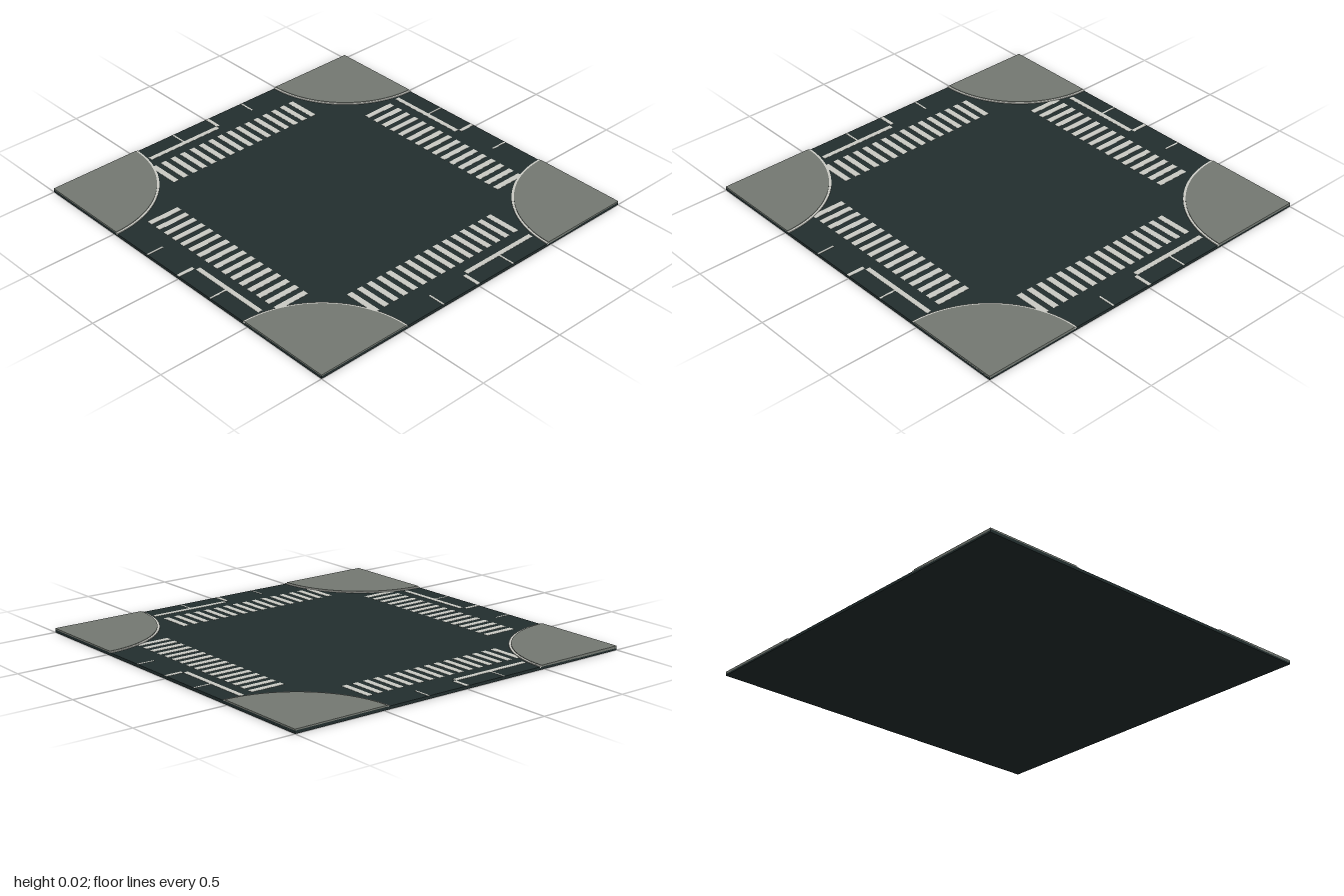
import * as THREE from 'three';

const ROAD = 0.015, MARK = 0.001, KERB = 0.019, PAVE = 0.022;
const R_PAVE = 0.518, R_KERB = 0.53;

const material = (name, color) => {
  const m = new THREE.MeshStandardMaterial({ color });
  m.name = name;
  return m;
};

// Quarter disc or quarter ring in the XY plane, centred on the origin
function quarterShape(outer, inner = 0) {
  const s = new THREE.Shape();
  s.moveTo(inner, 0);
  s.lineTo(outer, 0);
  s.absarc(0, 0, outer, 0, Math.PI / 2, false);
  s.lineTo(0, inner);
  if (inner) s.absarc(0, 0, inner, Math.PI / 2, 0, true);
  return s;
}

// Upright extrusion standing between two heights
function slab(shape, bottom, top) {
  const g = new THREE.ExtrudeGeometry(shape, { depth: top - bottom, bevelEnabled: false, curveSegments: 24 });
  return g.rotateX(-Math.PI / 2).translate(0, bottom, 0);
}

export function createModel() {
  const group = new THREE.Group();
  group.name = 'roadCrossing';
  const asphalt = material('asphalt', 0x222e2e);
  const paving = material('paving', 0x747972);
  const paint = material('paint', 0xcacbc4);

  const add = (name, geometry, mat, parent = group) => {
    const mesh = new THREE.Mesh(geometry, mat);
    mesh.name = name;
    parent.add(mesh);
    return mesh;
  };

  // Road slab
  add('roadSlab', new THREE.BoxGeometry(2, ROAD, 2).translate(0, ROAD / 2, 0), asphalt);

  // Raised pavement corners with a pale kerb
  const paveGeo = slab(quarterShape(R_PAVE), ROAD - 0.005, PAVE);
  const kerbGeo = slab(quarterShape(R_KERB, R_PAVE - 0.002), ROAD - 0.005, KERB);
  [[-1, 1], [1, 1], [1, -1], [-1, -1]].forEach(([x, z], i) => {
    const corner = new THREE.Group();
    corner.name = 'pavementCorner';
    corner.position.set(x, 0, z);
    corner.rotation.y = i * Math.PI / 2;
    add('pavement', paveGeo, paving, corner);
    add('kerb', kerbGeo, paint, corner);
    group.add(corner);
  });

  // Painted plate given by its bounds on the road
  const mark = (name, x0, x1, z0, z1) => {
    const g = new THREE.BoxGeometry(x1 - x0, MARK, z1 - z0);
    add(name, g, paint).position.set((x0 + x1) / 2, ROAD + MARK / 2, (z0 + z1) / 2);
  };

  for (const s of [-1, 1]) {
    // Bounds measured outwards along one axis, on the side given by s
    const span = (a, b) => (s > 0 ? [a, b] : [-b, -a]);

    // Zebra crossings
    for (let i = 0; i < 16; i++) {
      const c = -0.499 + i * 0.0625;
      mark('crossingStripe', c - 0.016, c + 0.016, ...span(0.642, 0.828));
      mark('crossingStripe', ...span(0.642, 0.828), -c - 0.016, -c + 0.016);
    }

    // Stop lines on the incoming lanes
    mark('stopLine', ...span(0.015, 0.467), ...span(0.884, 0.91));
    mark('stopLine', ...span(0.88, 0.906), ...(s > 0 ? [-0.467, -0.015] : [0.015, 0.467]));

    // Centre line and lane lines
    for (const [c, w] of [[-0.237, 0.005], [-0.004, 0.01], [0.234, 0.005]]) {
      mark('laneLine', c - w, c + w, ...span(0.906, 1));
      mark('laneLine', ...span(0.906, 1), c - w, c + w);
    }
  }
  return group;
}
